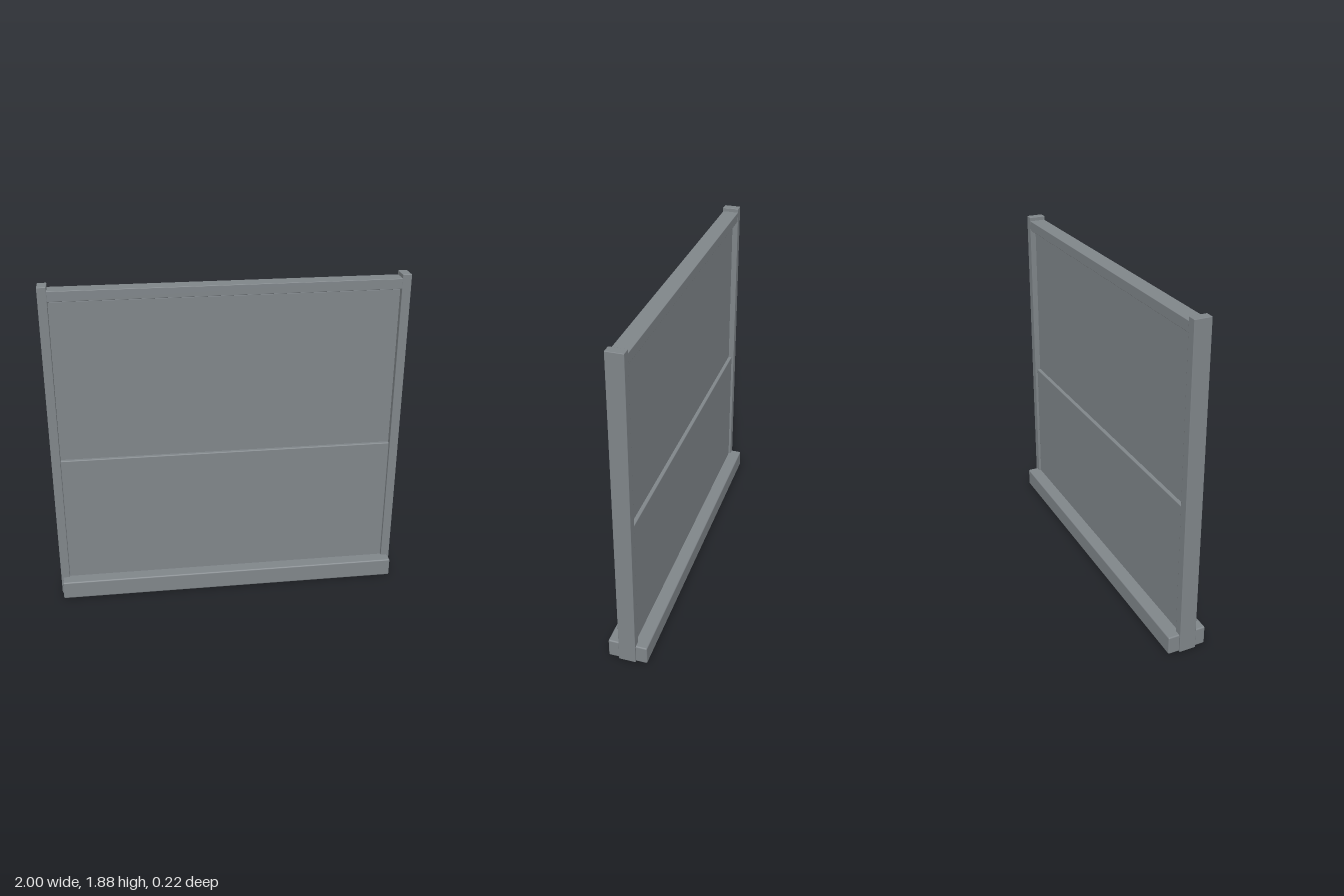
import * as THREE from 'three';
import { RoundedBoxGeometry } from 'three/addons/geometries/RoundedBoxGeometry.js';

export function createModel() {
  const group = new THREE.Group();
  const greyMetal = new THREE.MeshStandardMaterial({ color: 0x80868a });
  greyMetal.name = 'greyMetal';

  // Box centred on z, given its x centre, width, bottom, top, depth and edge radius
  function addBox(name, x, width, bottom, top, depth, radius) {
    const height = top - bottom;
    const geometry = radius
      ? new RoundedBoxGeometry(width, height, depth, 2, radius)
      : new THREE.BoxGeometry(width, height, depth);
    const mesh = new THREE.Mesh(geometry, greyMetal);
    mesh.name = name;
    mesh.position.set(x, bottom + height / 2, 0);
    group.add(mesh);
  }

  // Upright posts
  addBox('leftPost', 0.975, 0.05, 0, 1.875, 0.095, 0.003);
  addBox('rightPost', -0.975, 0.05, 0, 1.875, 0.095, 0.003);

  // Cross members
  addBox('baseSill', 0, 1.98, 0, 0.108, 0.22, 0.008);
  addBox('topRail', 0, 1.91, 1.795, 1.853, 0.092, 0.003);

  // Infill panels: the lower is thicker, the upper stops just below the rail
  addBox('lowerPanel', 0, 1.9, 0.05, 0.868, 0.07, 0.005);
  addBox('upperPanel', 0, 1.9, 0.86, 1.784, 0.03);

  return group;
}
